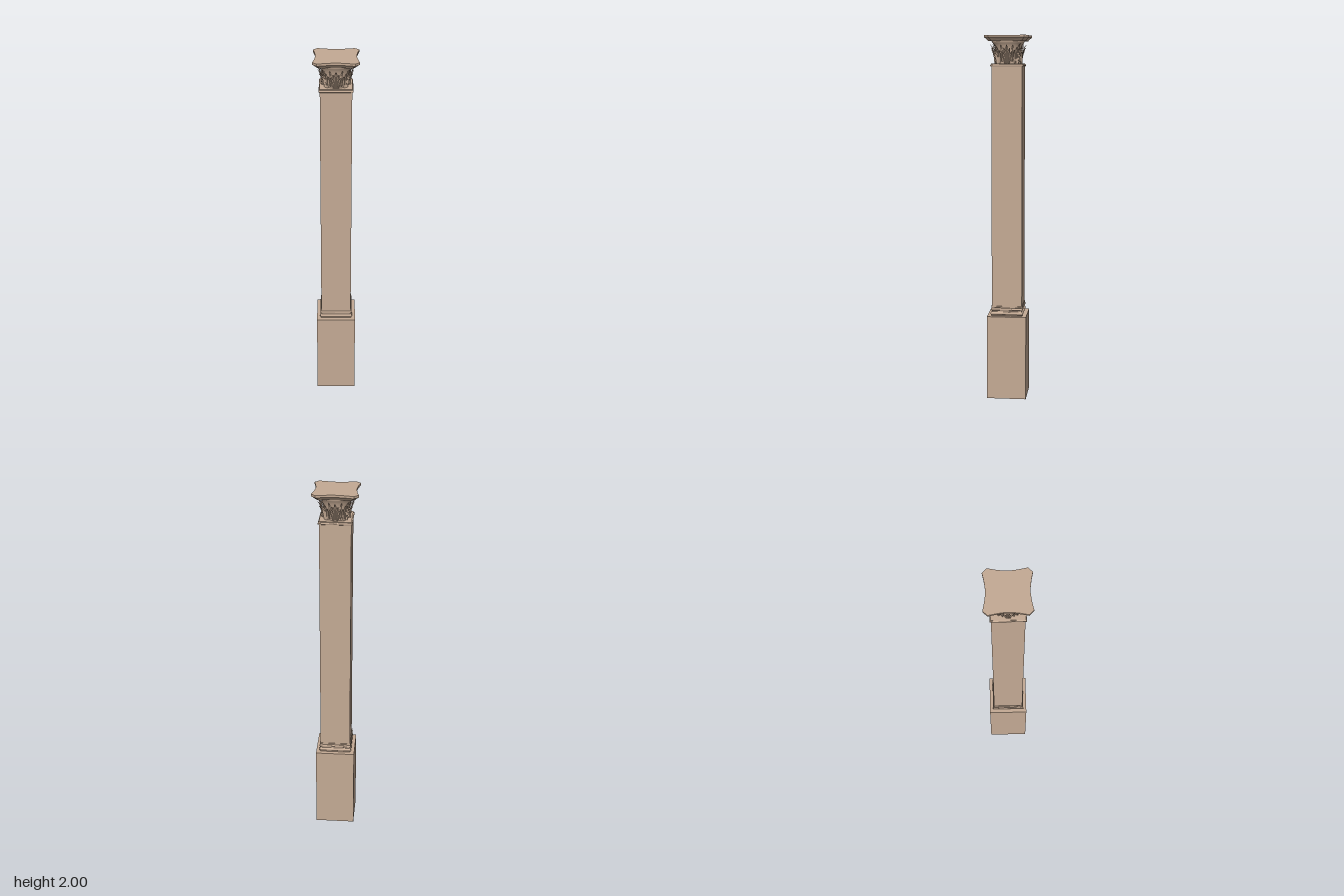
import * as THREE from 'three';
import { toCreasedNormals } from 'three/addons/utils/BufferGeometryUtils.js';

const stone = new THREE.MeshStandardMaterial({ color: 0xc4aa94 });
const leafStone = new THREE.MeshStandardMaterial({ color: 0xc4aa94, side: THREE.DoubleSide });

function addMesh(parent, name, geometry, material = stone) {
  const mesh = new THREE.Mesh(geometry, material);
  mesh.name = name;
  parent.add(mesh);
  return mesh;
}

// Joins rows of points into a surface; closed rows wrap around
function skin(rows, closed, crease) {
  const pos = [];
  const tri = (a, b, c) => {
    if (a.distanceTo(b) < 1e-7 || b.distanceTo(c) < 1e-7 || a.distanceTo(c) < 1e-7) return;
    for (const p of [a, b, c]) pos.push(p.x, p.y, p.z);
  };
  for (let j = 0; j < rows.length - 1; j++) {
    const n = rows[j].length;
    for (let i = 0; i < (closed ? n : n - 1); i++) {
      const k = (i + 1) % n;
      tri(rows[j][i], rows[j][k], rows[j + 1][k]);
      tri(rows[j][i], rows[j + 1][k], rows[j + 1][i]);
    }
  }
  const g = new THREE.BufferGeometry();
  g.setAttribute('position', new THREE.Float32BufferAttribute(pos, 3));
  g.computeVertexNormals();
  return toCreasedNormals(g, crease);
}

// Sweeps a moulding profile of [scale, y] around a plan outline, with end caps
function moulding(outline, profile) {
  const full = [[0, profile[0][1]], ...profile, [0, profile.at(-1)[1]]];
  return skin(full.map(([s, y]) => outline.map(([x, z]) => new THREE.Vector3(x * s, y, z * s))), true, 0.6);
}

// Half-round bulge, as profile points
function torus(half, depth, y0, y1, steps = 8) {
  return Array.from({ length: steps + 1 }, (_, i) => {
    const a = Math.PI * i / steps;
    return [half - depth + depth * Math.sin(a), (y0 + y1) / 2 - (y1 - y0) / 2 * Math.cos(a)];
  });
}

// Counter-clockwise plan, seen from above
const square = [[1, 1], [1, -1], [-1, -1], [-1, 1]];

// Concave-sided plan with clipped corners
function abacusPlan() {
  const pts = [];
  for (let side = 0; side < 4; side++) {
    const c = Math.cos(side * Math.PI / 2), s = Math.sin(side * Math.PI / 2);
    for (let i = 0; i <= 16; i++) {
      const u = i / 8 - 1;
      const x = 0.106 + 0.0145 * Math.pow(Math.abs(u), 1.6), z = -0.097 * u;
      pts.push([x * c + z * s, -x * s + z * c]);
    }
  }
  return pts;
}

// One pointed, ridged blade lying on the bell and curling outward
function blade(angle, fan, y0, y1, width, curl) {
  const rows = [];
  for (let j = 0; j <= 9; j++) {
    const t = j / 9;
    const a = angle + fan * (0.35 + 0.65 * t);
    const r = 0.069 + 0.006 * t + curl * Math.pow(t, 2.2);
    const y = y0 + (y1 - y0) * (t - 0.12 * Math.pow(t, 5)) / 0.88;
    const w = width * Math.pow(Math.sin(Math.PI * (0.16 + 0.84 * t)), 0.8);
    rows.push([-1, 0, 1].map((e) => {
      const rr = r + (e === 0 ? 0.007 * (1 - t * 0.7) : 0);
      const b = a + e * w / r;
      return new THREE.Vector3(Math.sin(b) * rr, y, Math.cos(b) * rr);
    }));
  }
  return skin(rows, false, 0.5);
}

function acanthusLeaf(angle, tall) {
  const leaf = new THREE.Group();
  const top = tall ? 1.957 : 1.95;
  for (let i = -2; i <= 2; i++) {
    const d = Math.abs(i);
    addMesh(leaf, 'leafBlade', blade(angle, i * 0.17, 1.848, top - d * 0.018,
      0.0095 - d * 0.001, (tall ? 0.028 : 0.023) - d * 0.004), leafStone);
  }
  return leaf;
}

export function createModel() {
  const model = new THREE.Group();
  model.name = 'column';

  // Pedestal block and square shaft
  addMesh(model, 'pedestal', new THREE.BoxGeometry(0.216, 0.466, 0.216)).position.y = 0.233;
  addMesh(model, 'shaft', new THREE.BoxGeometry(0.166, 1.33, 0.166)).position.y = 1.175;

  // Base: two rounded courses with a hollow between, and a fillet
  addMesh(model, 'baseMoulding', moulding(square, [
    [0.085, 0.465], [0.085, 0.471],
    ...torus(0.09, 0.008, 0.472, 0.489),
    [0.081, 0.492], [0.081, 0.496],
    ...torus(0.089, 0.007, 0.497, 0.511),
    [0.086, 0.513], [0.086, 0.521],
  ]));

  // Neck band at the top of the shaft
  addMesh(model, 'neckBand', moulding(square, [
    [0.083, 1.83], ...torus(0.089, 0.006, 1.833, 1.846), [0.084, 1.85],
  ]));

  // Capital: round bell ringed by leaves
  const capital = new THREE.Group();
  capital.name = 'capital';
  model.add(capital);
  const bell = [[0, 1.845], [0.066, 1.845], [0.067, 1.88], [0.07, 1.915], [0.076, 1.942],
    [0.084, 1.958], [0.088, 1.964], [0.088, 1.974], [0, 1.974]];
  addMesh(capital, 'bell', toCreasedNormals(
    new THREE.LatheGeometry(bell.map(([x, y]) => new THREE.Vector2(x, y)), 48), 0.6));
  for (let i = 0; i < 8; i++) {
    const leaf = acanthusLeaf(i * Math.PI / 4, i % 2 === 1);
    leaf.name = i % 2 ? 'cornerLeaf' : 'faceLeaf';
    capital.add(leaf);
  }

  // Narrow upright shoots between the leaves
  for (let i = 0; i < 8; i++) {
    addMesh(capital, 'shoot', blade((i + 0.5) * Math.PI / 4, 0, 1.86, 1.95, 0.006, 0.012), leafStone);
  }

  // Concave-sided top slab over a splayed underside
  addMesh(capital, 'abacus', moulding(abacusPlan(), [
    [0.84, 1.969], [0.87, 1.974], [0.91, 1.979], [0.97, 1.985], [1, 1.988], [1, 2],
  ]));

  return model;
}
